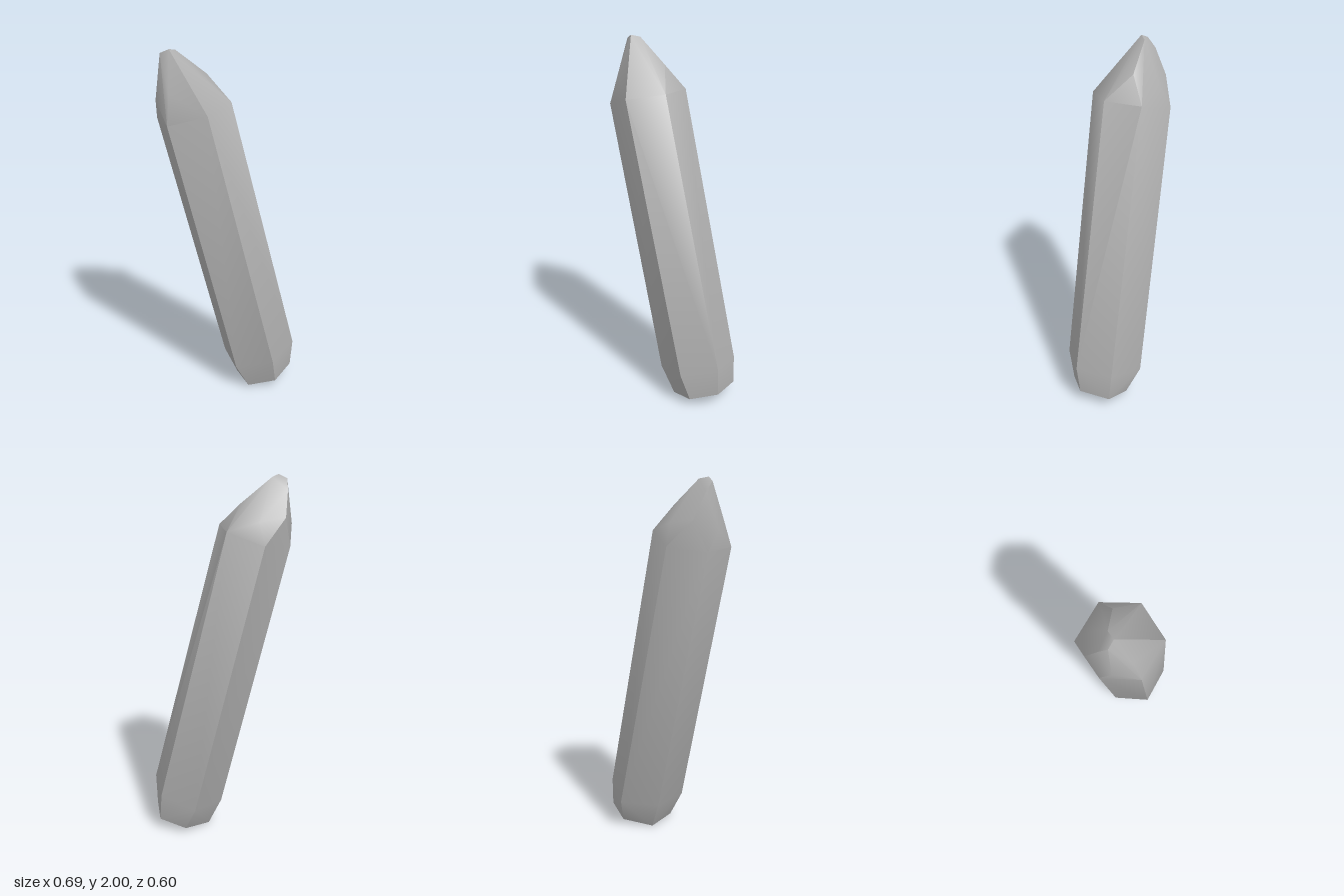
import * as THREE from 'three';
import { ConvexGeometry } from 'three/addons/geometries/ConvexGeometry.js';
import { toCreasedNormals } from 'three/addons/utils/BufferGeometryUtils.js';

// Cross-sections of the leaning six-sided crystal, corner by corner
const base = [
  [0.07, 0.03, -0.25], [0.215, 0.07, -0.297], [0.33, 0.08, -0.165],
  [0.29, 0.05, -0.01], [0.14, 0.01, 0.04], [0.02, 0, -0.085],
];
const lowerShoulder = [
  [-0.01, 0.18, -0.27], [0.2, 0.23, -0.3], [0.345, 0.25, -0.155],
  [0.29, 0.215, 0.045], [0.085, 0.165, 0.1], [-0.05, 0.16, -0.06],
];
const upperShoulder = [
  [-0.3, 1.67, -0.05], [-0.1, 1.73, -0.09], [0.035, 1.735, 0.055],
  [-0.01, 1.71, 0.255], [-0.21, 1.65, 0.298], [-0.338, 1.64, 0.15],
];
// Cut faces between the shoulder and the point
const tipFacets = [
  [-0.25, 1.78, -0.025], [-0.115, 1.86, 0.02], [-0.22, 1.8, 0.25],
  [-0.312, 1.75, 0.21], [-0.347, 1.8, 0.075],
];
const point = [
  [-0.25, 2, 0.168], [-0.24, 1.99, 0.12], [-0.295, 1.98, 0.177], [-0.32, 1.93, 0.14],
];

export function createModel() {
  const group = new THREE.Group();
  group.name = 'crystal';

  const stone = new THREE.MeshStandardMaterial({ color: 0xb0b0b0 });
  stone.name = 'grey stone';

  // Wrap the sections in one faceted skin; the long edges stay sharp
  const corners = [...base, ...lowerShoulder, ...upperShoulder, ...tipFacets, ...point]
    .map((p) => new THREE.Vector3(...p));
  const shard = new THREE.Mesh(toCreasedNormals(new ConvexGeometry(corners), 0.78), stone);
  shard.name = 'crystalShard';
  group.add(shard);
  return group;
}
